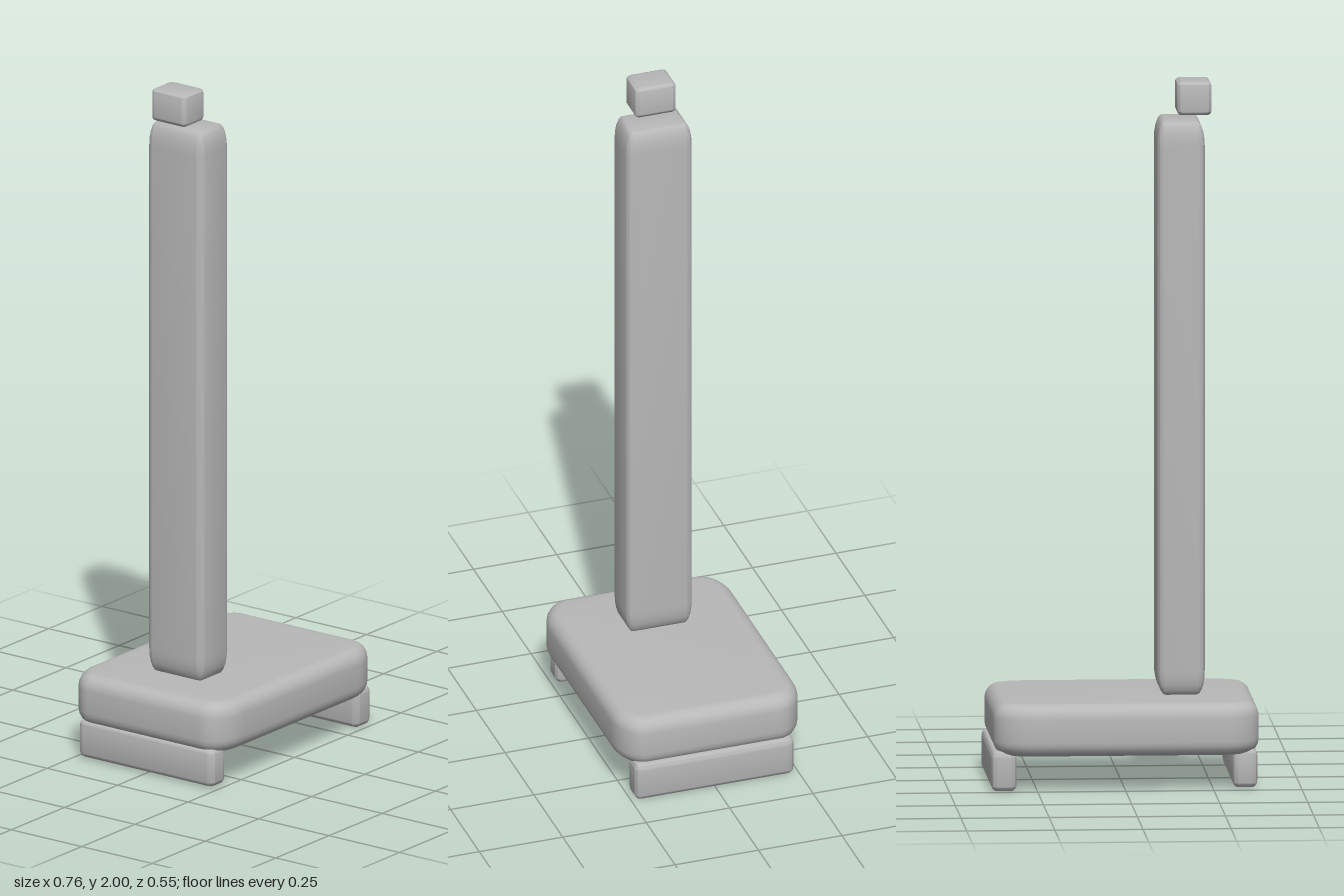
import * as THREE from 'three';
import { toCreasedNormals } from 'three/addons/utils/BufferGeometryUtils.js';

const grey = new THREE.MeshStandardMaterial({ color: 0xb8b8b8 });
grey.name = 'plain grey';

// Block from [x0,x1] [y0,y1] [z0,z1], with plan corner radii (cx, cz)
// and a rounded top and bottom rim: inset across, rise in height.
function softBlock(name, [x0, x1], [y0, y1], [z0, z1], { cx, cz, inset, rise }) {
  const a = (x1 - x0) / 2, b = (z1 - z0) / 2;
  const s = new THREE.Shape();
  s.moveTo(a, -b + cz);
  s.lineTo(a, b - cz);
  s.absellipse(a - cx, b - cz, cx, cz, 0, Math.PI / 2, false);
  s.lineTo(-a + cx, b);
  s.absellipse(-a + cx, b - cz, cx, cz, Math.PI / 2, Math.PI, false);
  s.lineTo(-a, -b + cz);
  s.absellipse(-a + cx, -b + cz, cx, cz, Math.PI, Math.PI * 1.5, false);
  s.lineTo(a - cx, -b);
  s.absellipse(a - cx, -b + cz, cx, cz, Math.PI * 1.5, Math.PI * 2, false);

  const height = y1 - y0;
  let geo = new THREE.ExtrudeGeometry(s, {
    depth: height - 2 * rise, curveSegments: 6,
    bevelEnabled: true, bevelThickness: rise, bevelSize: inset,
    bevelOffset: -inset, bevelSegments: 5,
  });
  geo.translate(0, 0, rise);
  geo.rotateX(-Math.PI / 2);
  geo.deleteAttribute('uv');
  geo = toCreasedNormals(geo, 0.8);
  geo.translate((x0 + x1) / 2, y0, (z0 + z1) / 2);
  const mesh = new THREE.Mesh(geo, grey);
  mesh.name = name;
  return mesh;
}

export function createModel() {
  const model = new THREE.Group();
  model.name = 'postOnBase';

  // Two runners under the base
  const runner = { cx: 0.016, cz: 0.022, inset: 0.014, rise: 0.02 };
  model.add(softBlock('rightRunner', [-0.375, -0.305], [0.005, 0.115], [-0.237, 0.24], runner));
  model.add(softBlock('leftRunner', [0.308, 0.38], [0, 0.115], [-0.237, 0.238], runner));

  // Broad slab
  model.add(softBlock('base', [-0.38, 0.373], [0.1, 0.25], [-0.277, 0.275],
    { cx: 0.11, cz: 0.08, inset: 0.04, rise: 0.042 }));

  // Tall post, tapering at both ends
  model.add(softBlock('post', [-0.235, -0.1], [0.25, 1.89], [-0.1, 0.098],
    { cx: 0.024, cz: 0.024, inset: 0.023, rise: 0.07 }));

  // Small block floating above the post
  model.add(softBlock('topBlock', [-0.255, -0.158], [1.905, 2], [-0.069, 0.053],
    { cx: 0.014, cz: 0.014, inset: 0.012, rise: 0.012 }));

  return model;
}
